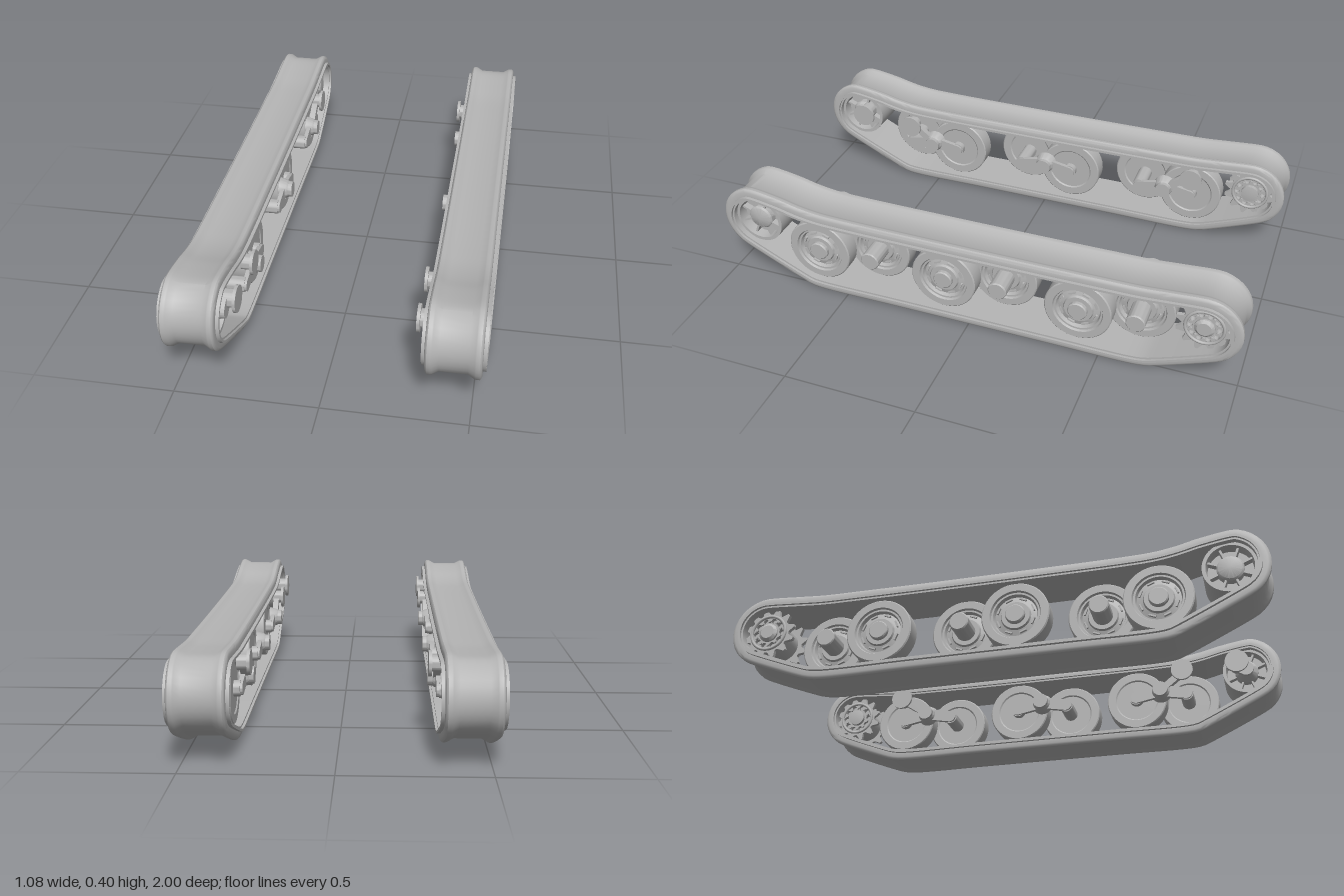
import * as THREE from 'three';
import { toCreasedNormals } from 'three/addons/utils/BufferGeometryUtils.js';

const steel = new THREE.MeshStandardMaterial({ color: 0xb6b6b6 });
steel.name = 'grey steel';

const V = (x, y) => new THREE.Vector2(x, y);
const IDLER = { z: 0.86, y: 0.26, r: 0.14 };
const SPROCKET = { z: -0.863, y: 0.225, r: 0.137 };
const WHEEL_Y = 0.175;

function mesh(name, geo, parent, x = 0, y = 0, z = 0) {
  const m = new THREE.Mesh(geo, steel);
  m.name = name;
  m.position.set(x, y, z);
  parent.add(m);
  return m;
}

// Turned part about the x axis; profile is [radius, x] from inner to outer side.
function turned(profile, segments = 40) {
  const g = new THREE.LatheGeometry(profile.map(([r, x]) => V(r, x)), segments);
  g.rotateZ(-Math.PI / 2);
  return toCreasedNormals(g, 0.6);
}

const rod = (r, x0, x1, seg = 24) => turned([[0, x0], [r, x0], [r, x1], [0, x1]], seg);

// Plate drawn in (z, y) and thickened along x.
function plate(shape, x0, x1) {
  const g = new THREE.ExtrudeGeometry(shape, { depth: x1 - x0, bevelEnabled: false, curveSegments: 10 });
  g.rotateY(Math.PI / 2); // shape x becomes -z
  g.translate(x0, 0, 0);
  return toCreasedNormals(g, 0.6);
}

// Rounded link between two (z, y) points.
function link(a, b, r, x0, x1) {
  const ang = Math.atan2(b[1] - a[1], a[0] - b[0]);
  const s = new THREE.Shape();
  s.absarc(-a[0], a[1], r, ang + Math.PI / 2, ang + Math.PI * 1.5, false);
  s.absarc(-b[0], b[1], r, ang - Math.PI / 2, ang + Math.PI / 2, false);
  s.closePath();
  return plate(s, x0, x1);
}

// Closed loop of the belt in (z, y), front arc first, over the nose and under.
function beltPath() {
  const pts = [];
  const arc = (c, from, to, n) => {
    for (let i = 0; i <= n; i++) {
      const a = THREE.MathUtils.degToRad(from + (to - from) * i / n);
      pts.push([c.z + c.r * Math.cos(a), c.y + c.r * Math.sin(a)]);
    }
  };
  arc(IDLER, -64, 79, 14);
  pts.push([0.76, 0.38], [0.68, 0.361], [0.6, 0.349], [0.5, 0.345], [0.2, 0.343], [-0.2, 0.343],
    [-0.5, 0.345], [-0.64, 0.347], [-0.74, 0.354]);
  arc(SPROCKET, 93, 247, 14);
  pts.push([-0.72, 0.02], [-0.68, 0.007], [-0.63, 0], [-0.3, 0], [0, 0], [0.3, 0],
    [0.6, 0], [0.65, 0.006], [0.69, 0.022]);
  return new THREE.CatmullRomCurve3(pts.map(([z, y]) => new THREE.Vector3(0, y, z)), true, 'centripetal');
}

// Belt: a ridged section swept round the loop; section is [x, depth].
function beltGeometry() {
  const half = [[0.047, 0.014], [0.068, 0.002], [0.073, 0], [0.085, 0], [0.09, 0.004], [0.093, 0.012],
    [0.093, 0.029], [0.105, 0.029], [0.105, 0.038], [0.096, 0.038], [0.096, 0.045]];
  const section = [...half.map(([x, d]) => [-x, d]).reverse(), ...half];
  const curve = beltPath(), N = 180, M = section.length;
  const pos = [], idx = [];
  for (let i = 0; i < N; i++) {
    const p = curve.getPointAt(i / N), t = curve.getTangentAt(i / N);
    // inward normal of the anticlockwise loop in (z, y)
    for (const [x, d] of section) pos.push(x, p.y + t.z * d, p.z - t.y * d);
  }
  for (let i = 0; i < N; i++) {
    for (let j = 0; j < M; j++) {
      const a = i * M + j, b = i * M + (j + 1) % M;
      const c = ((i + 1) % N) * M + j, e = ((i + 1) % N) * M + (j + 1) % M;
      idx.push(a, b, c, b, e, c);
    }
  }
  const g = new THREE.BufferGeometry();
  g.setAttribute('position', new THREE.Float32BufferAttribute(pos, 3));
  g.setIndex(idx);
  // make sure the faces look outward
  g.computeVertexNormals();
  const k = 11 * 1; // first outer tread point of the nose section
  if (g.attributes.normal.getZ(k) < 0) {
    for (let i = 0; i < idx.length; i += 3) [idx[i], idx[i + 1]] = [idx[i + 1], idx[i]];
    g.setIndex(idx);
  }
  return toCreasedNormals(g, 0.55);
}

// Dished road wheel with rim, bolt slots and hub.
function roadWheel(parent, name, x, z, hubEnd) {
  const w = new THREE.Group();
  w.name = name;
  w.position.set(x, WHEEL_Y, z);
  parent.add(w);
  mesh('wheelDisc', turned([[0, -0.03], [0.085, -0.03], [0.09, -0.034], [0.121, -0.034], [0.125, -0.03],
    [0.125, 0.03], [0.121, 0.034], [0.094, 0.034], [0.09, 0.026], [0.083, 0.026], [0.078, 0.012],
    [0.056, 0.018], [0.052, 0.026], [0, 0.026]], 48), w);
  mesh('wheelHub', turned([[0, 0.02], [0.036, 0.02], [0.036, hubEnd - 0.004], [0.032, hubEnd], [0, hubEnd]]), w);
  for (let i = 0; i < 8; i++) {
    const a = (i + 0.5) * Math.PI / 4;
    const b = mesh('wheelLug', new THREE.BoxGeometry(0.01, 0.006, 0.026), w, 0.018, 0.068 * Math.sin(a), 0.068 * Math.cos(a));
    b.rotation.x = Math.PI / 2 - a;
  }
  mesh('axle', rod(0.028, -0.095 - x, -0.02), w);
}

// Spoked front idler.
function idlerWheel(parent) {
  const w = new THREE.Group();
  w.name = 'idler';
  w.position.set(0, IDLER.y, IDLER.z);
  parent.add(w);
  mesh('idlerRim', turned([[0, -0.035], [0.08, -0.035], [0.084, -0.075], [0.097, -0.075], [0.097, 0.075],
    [0.084, 0.075], [0.08, 0.035], [0, 0.035]], 48), w);
  for (let i = 0; i < 8; i++) {
    const a = (i + 0.5) * Math.PI / 4;
    const s = mesh('idlerSpoke', new THREE.BoxGeometry(0.12, 0.008, 0.045), w, 0, 0.064 * Math.sin(a), 0.064 * Math.cos(a));
    s.rotation.x = -a;
  }
  mesh('idlerHub', turned([[0, -0.085], [0.03, -0.085], [0.048, -0.06], [0.048, 0.06], [0.042, 0.066], [0, 0.074]]), w);
}

// Rear drive sprocket: two toothed plates on a drum, with a bolted cover.
function sprocketWheel(parent) {
  const w = new THREE.Group();
  w.name = 'sprocket';
  w.position.set(0, SPROCKET.y, SPROCKET.z);
  parent.add(w);
  const teeth = 12, outline = new THREE.Shape();
  for (let i = 0; i < teeth * 4; i++) {
    const r = [0.08, 0.08, 0.104, 0.104][i % 4], a = (i + (i % 4 === 3 ? -0.3 : 0)) / (teeth * 4) * Math.PI * 2;
    outline[i ? 'lineTo' : 'moveTo'](r * Math.cos(a), r * Math.sin(a));
  }
  outline.closePath();
  for (let i = 0; i < 10; i++) {
    const a = i * Math.PI / 5;
    const hole = new THREE.Path();
    hole.absarc(0.052 * Math.cos(a), 0.052 * Math.sin(a), 0.011, 0, Math.PI * 2, true);
    outline.holes.push(hole);
  }
  for (const x of [-0.065, 0.05]) mesh('toothedPlate', plate(outline, x, x + 0.015), w);
  mesh('sprocketDrum', rod(0.066, -0.048, 0.048, 32), w);
  mesh('sprocketHub', turned([[0, -0.085], [0.034, -0.08], [0.036, 0.072], [0.026, 0.08], [0, 0.08]]), w);
  for (const x of [-0.072, 0.072]) {
    const ring = mesh('sprocketRing', new THREE.TorusGeometry(0.068, 0.006, 8, 40), w, x * 0.95);
    ring.rotation.y = Math.PI / 2;
  }
  for (let i = 0; i < 10; i++) {
    const a = (i + 0.5) * Math.PI / 5;
    mesh('sprocketBolt', rod(0.006, -0.072, 0.072, 8), w, 0, 0.05 * Math.sin(a), 0.05 * Math.cos(a));
  }
}

// Suspension on the hull side of each wheel pair.
function bogie(parent, front, rear, damperZ) {
  const b = new THREE.Group();
  b.name = 'bogie';
  parent.add(b);
  const mid = (front + rear) / 2;
  mesh('swingArm', link([front, WHEEL_Y], [mid, 0.195], 0.024, -0.104, -0.088), b);
  mesh('swingArm', link([mid, 0.195], [rear, WHEEL_Y], 0.024, -0.104, -0.088), b);
  mesh('pivot', turned([[0, -0.131], [0.031, -0.131], [0.031, -0.115], [0.036, -0.108], [0.044, -0.08], [0, -0.08]]), b, 0, 0.195, mid);
  if (damperZ !== undefined) {
    mesh('damperRod', link([damperZ, 0.27], [mid, 0.195], 0.014, -0.112, -0.088), b);
    mesh('damperMount', turned([[0, -0.133], [0.045, -0.133], [0.045, -0.122], [0.028, -0.122], [0.028, -0.085], [0, -0.085]]), b, 0, 0.27, damperZ);
  }
}

function trackUnit() {
  const t = new THREE.Group();
  mesh('trackBelt', beltGeometry(), t);
  idlerWheel(t);
  sprocketWheel(t);
  // interleaved pairs: front wheel outboard, rear wheel inboard with a long hub
  [[0.61, 0.4, 0.6], [0.1, -0.11], [-0.415, -0.625, -0.63]].forEach(([f, r, d]) => {
    roadWheel(t, 'outerRoadWheel', 0.042, f, 0.042);
    roadWheel(t, 'innerRoadWheel', -0.042, r, 0.118);
    bogie(t, f, r, d);
  });
  // idler crank and its hull mount
  mesh('idlerCrank', link([0.86, 0.26], [0.825, 0.283], 0.03, -0.1, -0.08), t);
  mesh('idlerMount', turned([[0, -0.133], [0.048, -0.133], [0.048, -0.122], [0.032, -0.122], [0.032, -0.07], [0, -0.07]]), t, 0, 0.283, 0.825);
  return t;
}

export function createModel() {
  const model = new THREE.Group();
  model.name = 'trackedRunningGear';
  for (const s of [1, -1]) {
    const t = trackUnit();
    t.name = s > 0 ? 'leftTrack' : 'rightTrack';
    t.position.x = s * 0.435;
    t.scale.x = s;
    model.add(t);
  }
  return model;
}
